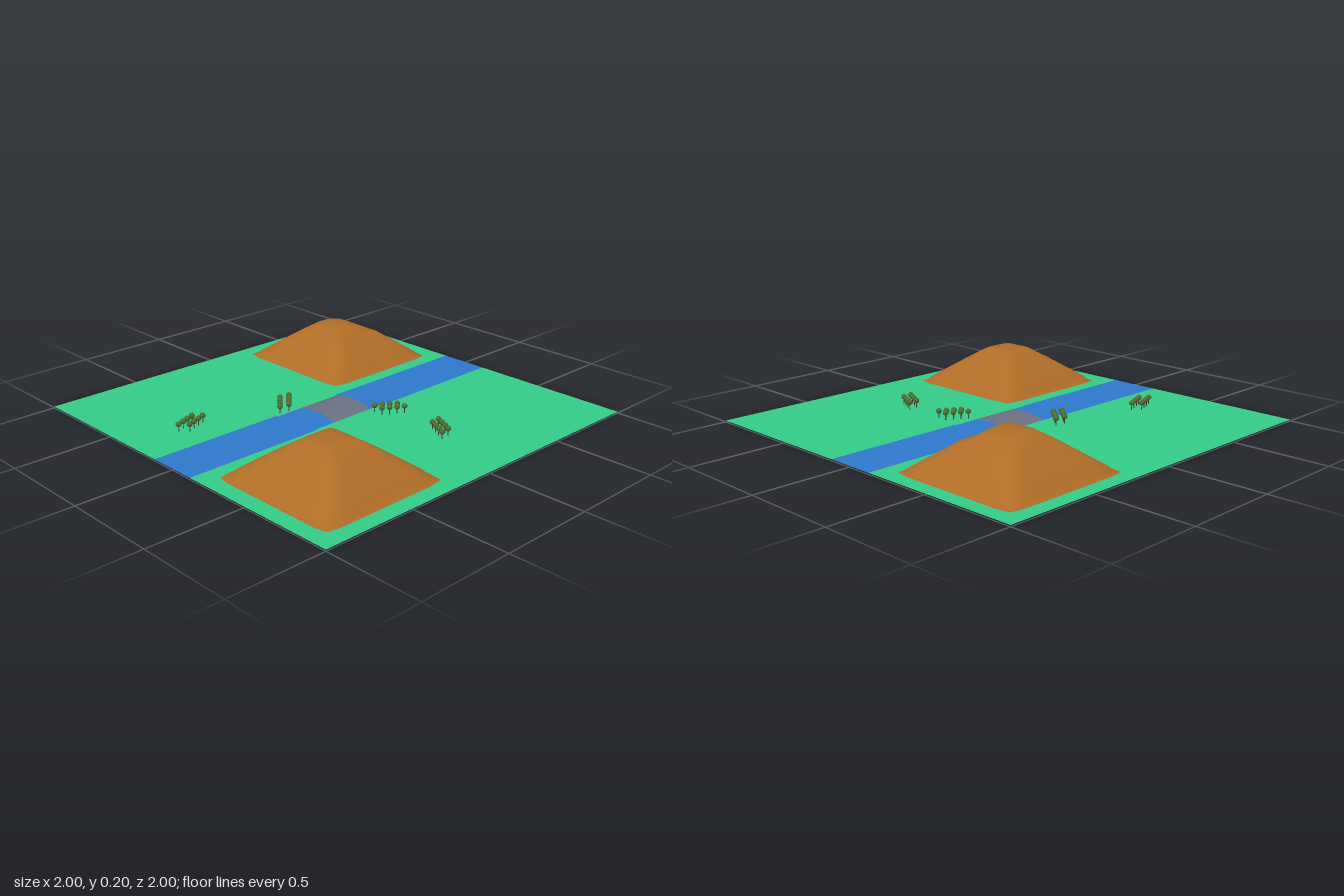
import * as THREE from 'three';

const GROUND = 0.007;
const mat = (color) => new THREE.MeshStandardMaterial({ color, side: THREE.DoubleSide });
const SEG = 48;

// point on a rounded square outline; a larger power gives sharper corners
function squarePoint(i, half, power) {
  const a = (i / SEG) * Math.PI * 2, c = Math.cos(a), s = Math.sin(a);
  const r = half / Math.pow(Math.abs(c) ** power + Math.abs(s) ** power, 1 / power);
  return [r * c, r * s];
}

// rings of a hill: half width, height, corner power
const RINGS = [
  [0.354, GROUND, 20], [0.332, 0.011, 18], [0.321, 0.033, 14], [0.25, 0.087, 12],
  [0.17, 0.146, 9], [0.125, 0.176, 8], [0.09, 0.199, 8], [0.045, 0.2, 8],
];

function hillGeometry(drop) {
  const pos = [], idx = [];
  for (const [half, y, power] of RINGS) {
    for (let i = 0; i < SEG; i++) {
      const [x, z] = squarePoint(i, half, power);
      // the far side of the summit sinks a little
      const sink = y > 0.17 ? drop * THREE.MathUtils.clamp(-z / 0.09, 0, 1) : 0;
      pos.push(x, y - sink, z);
    }
  }
  for (let r = 0; r < RINGS.length - 1; r++) {
    for (let i = 0; i < SEG; i++) {
      const a = r * SEG + i, b = r * SEG + (i + 1) % SEG, c = a + SEG, d = b + SEG;
      idx.push(a, c, b, b, c, d);
    }
  }
  const top = pos.length / 3, last = top - SEG;
  pos.push(0, 0.2, 0);
  for (let i = 0; i < SEG; i++) idx.push(last + i, top, last + (i + 1) % SEG);
  const g = new THREE.BufferGeometry();
  g.setAttribute('position', new THREE.Float32BufferAttribute(pos, 3));
  g.setIndex(idx);
  g.computeVertexNormals();
  return g;
}

// flat sheet on the ground from [x, z] corners
const toShape = (pts, Type = THREE.Shape) => new Type(pts.map(([x, z]) => new THREE.Vector2(x, -z)));
function sheet(name, pts, material, hole) {
  const shape = toShape(pts);
  if (hole) {
    const ring = Array.from({ length: SEG }, (_, i) => {
      const [x, z] = squarePoint(i, RINGS[0][0], RINGS[0][2]);
      return [x + hole[0], z + hole[1]];
    });
    shape.holes.push(toShape(ring, THREE.Path));
  }
  const mesh = new THREE.Mesh(new THREE.ShapeGeometry(shape).rotateX(-Math.PI / 2), material);
  mesh.position.y = GROUND;
  mesh.name = name;
  return mesh;
}

export function createModel() {
  const model = new THREE.Group();
  model.name = 'landscape';
  const grass = mat(0x34cc88), water = mat(0x2f78cc), earth = mat(0xb06d27);
  const stone = mat(0x6b7182), leaf = mat(0x4d7030), bark = mat(0x4a3a26);

  // river banks, slightly narrowed beside the bridge
  const leftBank = [[-0.135, -1], [-0.135, -0.13], [-0.125, -0.13], [-0.125, 0.27], [-0.135, 0.27], [-0.135, 1]];
  const rightBank = [[0.13, 1], [0.13, 0.24], [0.122, 0.24], [0.122, -0.25], [0.13, -0.25], [0.13, -1]];
  const hills = [[-0.565, -0.565, 0.014], [0.56, 0.56, 0]];
  model.add(
    sheet('rightMeadow', [[-1, 1], [-1, -1], ...leftBank], grass, hills[0]),
    sheet('leftMeadow', [[1, -1], [1, 1], ...rightBank], grass, hills[1]),
    sheet('river', [...leftBank, ...rightBank], water),
  );

  // hills, open underneath
  for (const [x, z, drop] of hills) {
    const hill = new THREE.Mesh(hillGeometry(drop), earth);
    hill.position.set(x, 0, z);
    hill.name = 'hill';
    model.add(hill);
  }

  // bridge: a thin arched deck
  const deck = new THREE.PlaneGeometry(0.247, 0.25, 16, 1).rotateX(-Math.PI / 2);
  const p = deck.attributes.position;
  for (let i = 0; i < p.count; i++) {
    p.setY(i, 0.001 + 0.019 * (1 - (p.getX(i) / 0.1235) ** 2));
  }
  deck.computeVertexNormals();
  const bridge = new THREE.Mesh(deck, stone);
  bridge.position.set(-0.0015, GROUND, -0.005);
  bridge.name = 'bridge';
  model.add(bridge);

  // groves: two rows of four trees; start, step along a row, offset to the second row
  const groves = [
    [0.165, -0.12, 0.02, -0.033, 0.05, 0],
    [0.5, -0.22, 0.036, 0.018, 0.005, 0.05],
    [-0.232, 0.1, 0.031, 0.027, -0.009, 0.052],
    [-0.322, 0.58, 0.014, 0.037, -0.034, 0.04],
  ];
  const crownGeo = new THREE.SphereGeometry(0.0145, 8, 6);
  const trunkGeo = new THREE.CylinderGeometry(0.002, 0.003, 0.036, 6);
  for (const [x, z, sx, sz, ox, oz] of groves) {
    const grove = new THREE.Group();
    grove.name = 'grove';
    for (let row = 0; row < 2; row++) {
      for (let i = 0; i < 4; i++) {
        const tree = new THREE.Group();
        tree.name = 'tree';
        const crown = new THREE.Mesh(crownGeo, leaf);
        crown.name = 'crown';
        crown.position.y = 0.044;
        const trunk = new THREE.Mesh(trunkGeo, bark);
        trunk.name = 'trunk';
        trunk.position.y = 0.018;
        tree.add(crown, trunk);
        tree.position.set(x + sx * i + ox * row, 0, z + sz * i + oz * row);
        grove.add(tree);
      }
    }
    model.add(grove);
  }
  return model;
}
